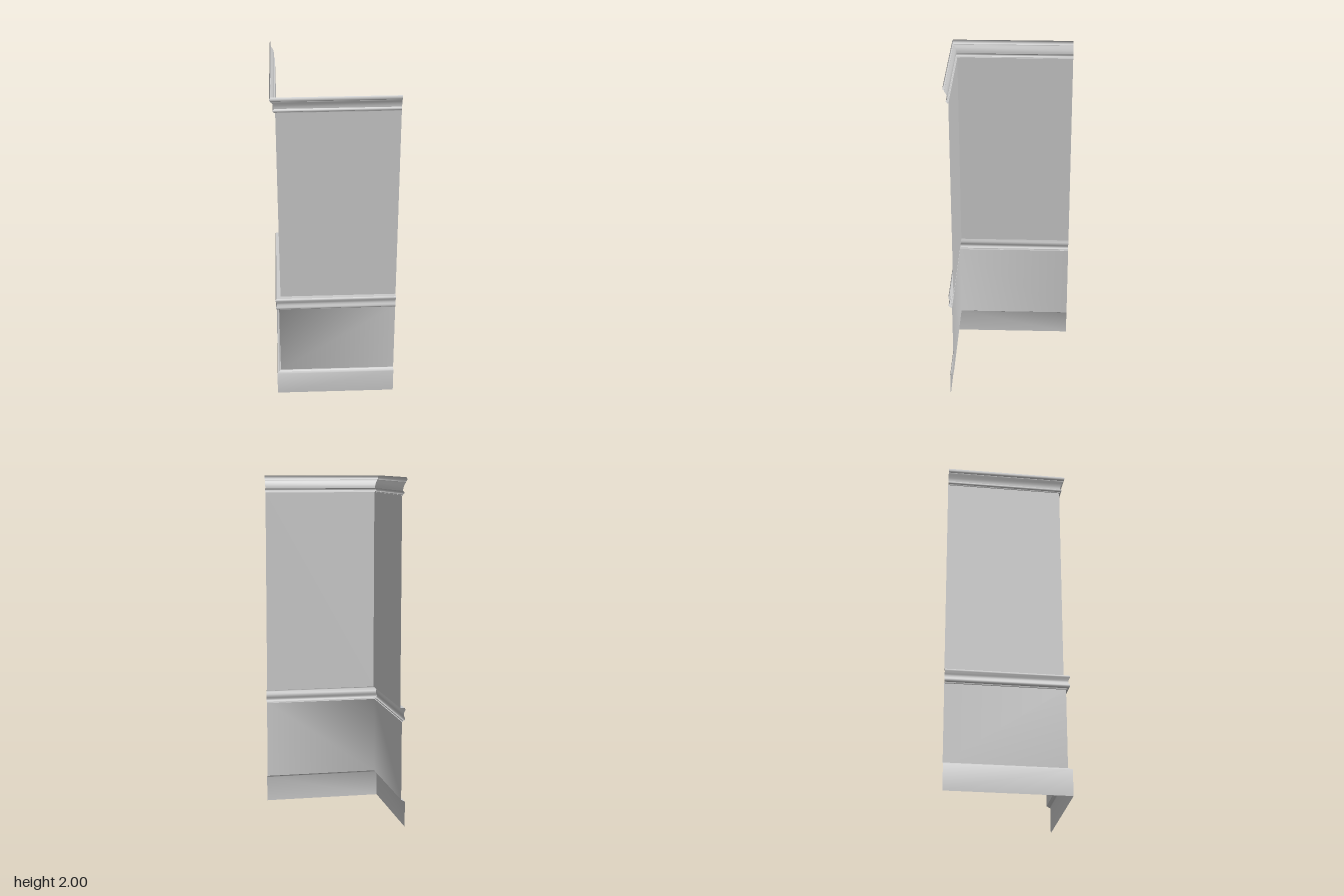
import * as THREE from 'three';
import { toCreasedNormals } from 'three/addons/utils/BufferGeometryUtils.js';

const END = 0.349; // where both walls are cut off

// Sweep a profile of [outward distance, height] points around the mitred corner
function sweep(profile) {
  const positions = [];
  for (const [d, y] of profile) {
    positions.push(END, y, d, -d, y, d, -d, y, -END);
  }
  const index = [];
  for (let j = 0; j < profile.length - 1; j++) {
    for (let i = 0; i < 2; i++) {
      const a = j * 3 + i, b = a + 3;
      index.push(a, b, a + 1, a + 1, b, b + 1);
    }
  }
  const geometry = new THREE.BufferGeometry();
  geometry.setAttribute('position', new THREE.Float32BufferAttribute(positions, 3));
  geometry.setIndex(index);
  geometry.computeVertexNormals();
  return geometry;
}

export function createModel() {
  const group = new THREE.Group();
  const material = new THREE.MeshStandardMaterial({ color: 0xcccccc, side: THREE.DoubleSide });

  function addPart(name, profile, smoothCorner = false) {
    const geometry = sweep(profile);
    const mesh = new THREE.Mesh(smoothCorner ? geometry : toCreasedNormals(geometry, 0.75), material);
    mesh.name = name;
    group.add(mesh);
  }

  // Tall plinth with a small moulded top edge
  addPart('baseboard', [
    [0.349, 0], [0.349, 0.148], [0.346, 0.153], [0.337, 0.155], [0.332, 0.161], [0.327, 0.162],
  ]);

  // Lower panel, shaded softly around the corner
  addPart('lowerPanel', [[0.327, 0.162], [0.327, 0.62]], true);

  // Rail with two rounded lips and a hollow between them
  addPart('chairRail', [
    [0.327, 0.62], [0.334, 0.62], [0.335, 0.626], [0.342, 0.628], [0.346, 0.634],
    [0.346, 0.642], [0.341, 0.651], [0.338, 0.661], [0.339, 0.671], [0.344, 0.681],
    [0.347, 0.688], [0.346, 0.696], [0.341, 0.701], [0.317, 0.701],
  ]);

  // Plain upper wall
  addPart('upperWall', [[0.317, 0.701], [0.317, 1.9]]);

  // Bead, hollow and flared lip along the top
  addPart('crownMoulding', [
    [0.317, 1.9], [0.322, 1.9], [0.323, 1.905], [0.328, 1.908], [0.33, 1.914],
    [0.328, 1.92], [0.322, 1.924], [0.322, 1.93], [0.325, 1.945], [0.331, 1.96],
    [0.338, 1.969], [0.338, 1.974], [0.344, 1.979], [0.346, 1.986], [0.345, 1.994],
    [0.34, 2.0],
  ]);

  return group;
}
